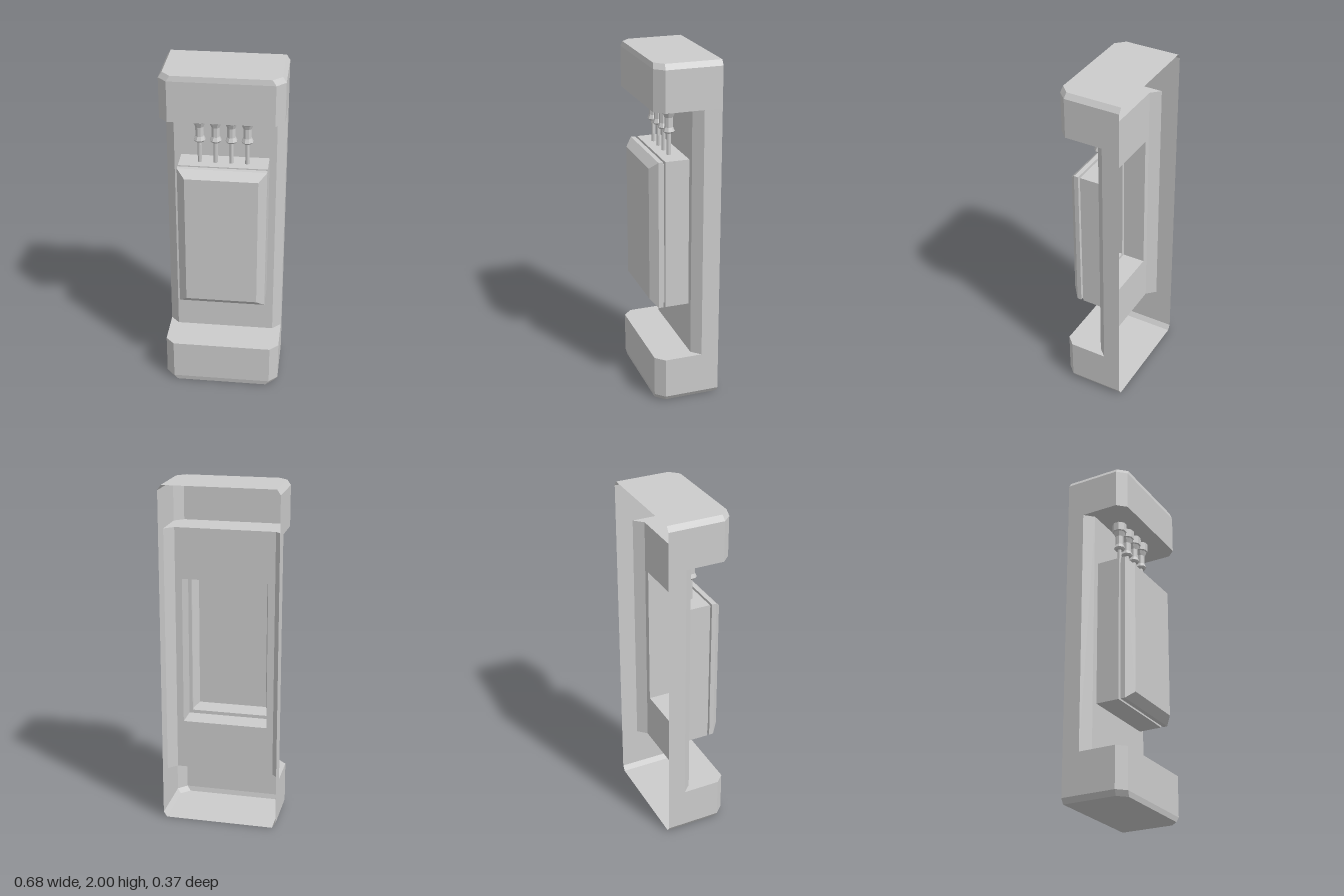
import * as THREE from 'three';

const material = new THREE.MeshStandardMaterial({ color: 0xcccccc, flatShading: true, side: THREE.DoubleSide });

function addMesh(group, name, geometry) {
  const mesh = new THREE.Mesh(geometry, material);
  mesh.name = name;
  group.add(mesh);
  return mesh;
}

// Skin a list of cross-sections, each a list of [x, y, z] points
function loft(rings, closed) {
  const positions = [];
  const triangle = (a, b, c) => {
    const [A, B, C] = [a, b, c].map((p) => new THREE.Vector3(...p));
    const area = B.clone().sub(A).cross(C.clone().sub(A)).length();
    if (area > 1e-7) positions.push(...a, ...b, ...c);
  };
  for (let r = 0; r < rings.length - 1; r++) {
    const lower = rings[r], upper = rings[r + 1], n = lower.length;
    for (let i = 0; i < (closed ? n : n - 1); i++) {
      const j = (i + 1) % n;
      triangle(lower[i], lower[j], upper[j]);
      triangle(lower[i], upper[j], upper[i]);
    }
  }
  const geometry = new THREE.BufferGeometry();
  geometry.setAttribute('position', new THREE.Float32BufferAttribute(positions, 3));
  geometry.computeVertexNormals();
  return geometry;
}

const BACK = -0.187;

// Open-backed plan outline with chamfered front corners
function outline(y, halfWidth, cornerZ, frontZ) {
  const w = halfWidth, f = halfWidth - 0.05;
  return [[-w, y, BACK], [-w, y, cornerZ], [-f, y, frontZ], [f, y, frontZ], [w, y, cornerZ], [w, y, BACK]];
}
const full = (y) => outline(y, 0.34, 0.136, 0.187);
const inset = (y) => outline(y, 0.32, 0.131, 0.181);
const recessed = (y) => outline(y, 0.34, -0.084, -0.033);
const flattened = (ring) => ring.map(([x, y]) => [x, y, BACK]);

// Rectangular cross-section of the raised panel
const PANEL_Y = 1.0025;
function rectangle(w, h, z) {
  return [[-w, PANEL_Y - h, z], [w, PANEL_Y - h, z], [w, PANEL_Y + h, z], [-w, PANEL_Y + h, z]];
}

export function createModel() {
  const model = new THREE.Group();
  model.name = 'wallUnit';
  const low = 0.27, high = 1.738;

  // Hollow end blocks, with the ledge leading back to the recess
  addMesh(model, 'lowerBlock', loft(
    [flattened(inset(0)), inset(0), full(0.03), full(low), recessed(low)], false));
  addMesh(model, 'upperBlock', loft(
    [recessed(high), full(high), full(1.97), inset(2), flattened(inset(2))], false));

  // Recessed side walls between the blocks
  const bottom = recessed(low), top = recessed(high);
  addMesh(model, 'leftWall', loft([bottom.slice(3), top.slice(3)], false));
  addMesh(model, 'rightWall', loft([bottom.slice(0, 3), top.slice(0, 3)], false));

  // Recessed face with an opening behind the panel
  const face = new THREE.Shape([[-0.29, low], [0.29, low], [0.29, high], [-0.29, high]]
    .map(([x, y]) => new THREE.Vector2(x, y)));
  face.holes.push(new THREE.Path(rectangle(0.25, 0.4375, 0).reverse()
    .map(([x, y]) => new THREE.Vector2(x, y))));
  addMesh(model, 'recessFace', new THREE.ShapeGeometry(face)).position.z = -0.033;

  // Hollow raised panel: walls, shallow groove, bevelled cover
  addMesh(model, 'panel', loft([
    rectangle(0.25, 0.4375, -0.033),
    rectangle(0.25, 0.4375, 0.106),
    rectangle(0.23, 0.4175, 0.106),
    rectangle(0.23, 0.4175, 0.119),
    rectangle(0.25, 0.4375, 0.119),
    rectangle(0.25, 0.4375, 0.145),
    rectangle(0.205, 0.394, 0.187),
    rectangle(0, 0, 0.187),
  ], true));

  // Row of four plugs, each with a thin pin running into the panel
  const profile = [[0, 1.432], [0.012, 1.432], [0.012, 1.567], [0.026, 1.567], [0.034, 1.577],
    [0.024, 1.6], [0.024, 1.655], [0.036, 1.683], [0.043, 1.688], [0.043, 1.738]]
    .map(([r, y]) => new THREE.Vector2(r, y));
  for (const x of [-0.134, -0.045, 0.042, 0.131]) {
    const plug = addMesh(model, 'plug', new THREE.LatheGeometry(profile, 8, Math.PI / 8));
    plug.position.set(x, 0, 0.045);
  }
  return model;
}
